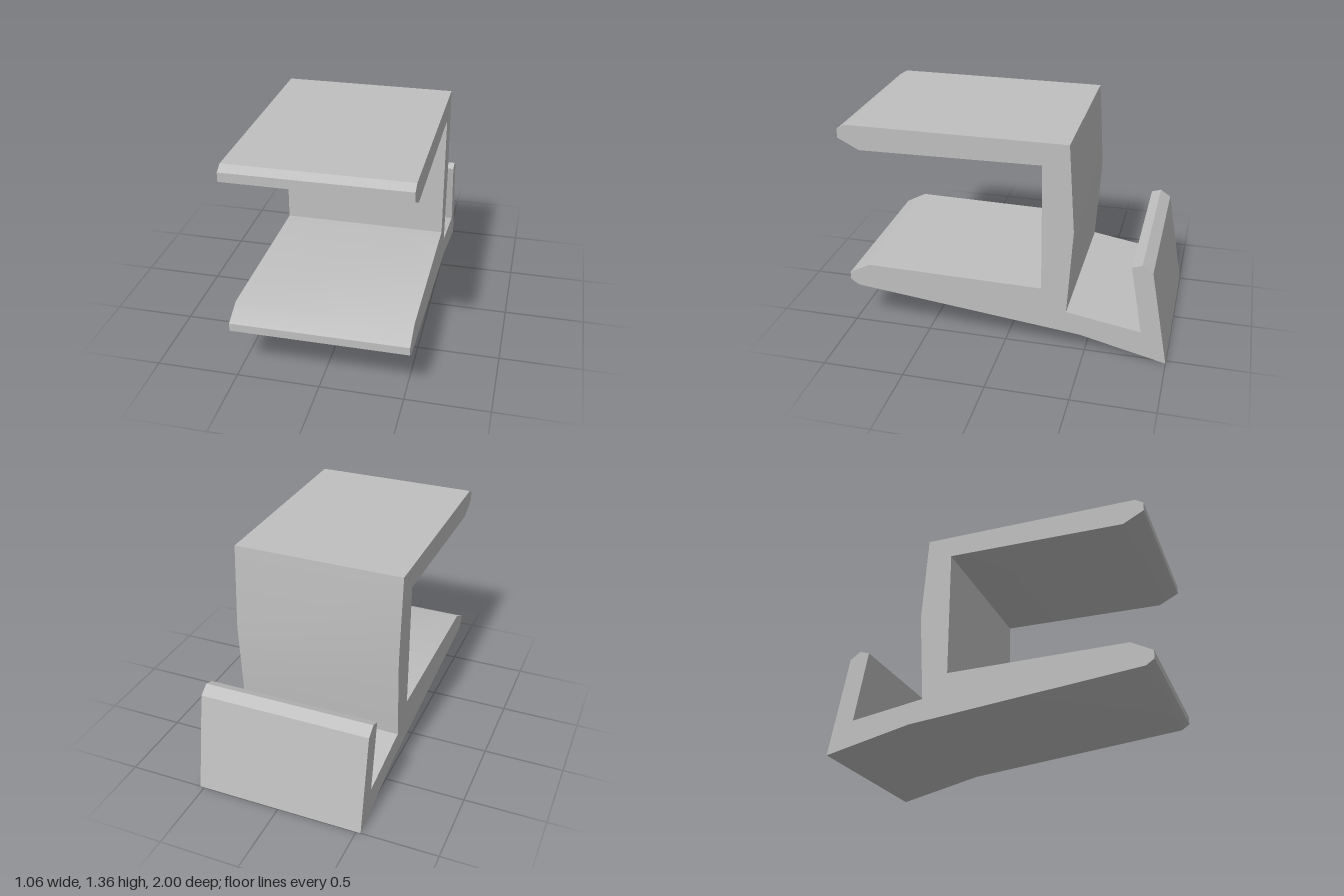
import * as THREE from 'three';
import { toCreasedNormals } from 'three/addons/utils/BufferGeometryUtils.js';

export function createModel() {
  const group = new THREE.Group();
  group.name = 'clipBracket';
  const grey = new THREE.MeshStandardMaterial({ color: 0xbfbfbf });
  grey.name = 'grey';

  // Side outline as (z, y)
  const outline = [
    [1, 1.33], [0.95, 1.36], [-0.385, 1.36],                // top of upper arm
    [-0.42, 0.82], [-0.385, 0.275],                         // bowed back wall
    [-0.84, 0.2], [-0.765, 0.635], [-0.825, 0.655],         // inside of rear hook
    [-0.89, 0.61], [-1, 0],                                 // outside of rear hook
    [-0.47, 0.125], [0.95, 0.28], [1, 0.315],               // underside
    [1, 0.365], [0.87, 0.434], [-0.23, 0.418],              // top of lower arm
    [-0.23, 1.222], [0.87, 1.208], [1, 1.275],              // inner wall, upper arm underside
  ];
  const shape = new THREE.Shape(outline.map(([z, y]) => new THREE.Vector2(z, y)));

  // Extrude across the width, then turn the outline into the z-y plane
  const width = 1.056;
  const geometry = new THREE.ExtrudeGeometry(shape, { depth: width, bevelEnabled: false });
  geometry.translate(0, 0, -width / 2);
  geometry.rotateY(-Math.PI / 2);

  const bracket = new THREE.Mesh(toCreasedNormals(geometry, THREE.MathUtils.degToRad(30)), grey);
  bracket.name = 'bracket';
  group.add(bracket);
  return group;
}
